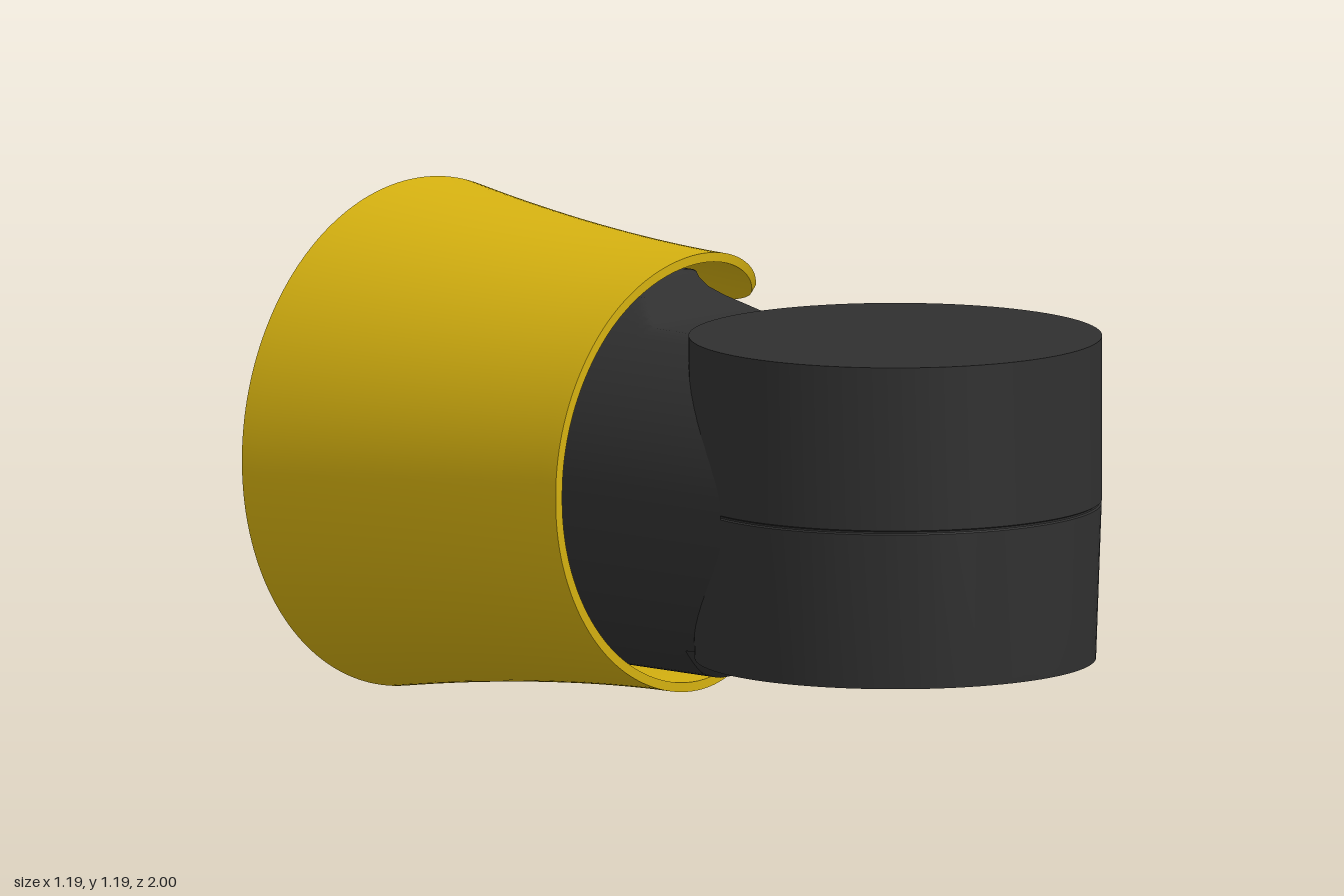
import * as THREE from 'three';
import { toCreasedNormals } from 'three/addons/utils/BufferGeometryUtils.js';

const AXIS_Y = 0.595; // height of the horizontal axis
const dark = new THREE.MeshStandardMaterial({ color: 0x303030 });
const yellow = new THREE.MeshStandardMaterial({ color: 0xd4b010 });

// Skin a list of closed loops; wrap joins the last loop back to the first.
function loft(loops, wrap) {
  const n = loops[0].length, m = loops.length, index = [];
  for (let i = 0; i < (wrap ? m : m - 1); i++) {
    for (let j = 0; j < n; j++) {
      const i2 = (i + 1) % m, j2 = (j + 1) % n;
      const a = i * n + j, b = i * n + j2, c = i2 * n + j2, d = i2 * n + j;
      index.push(a, d, c, a, c, b);
    }
  }
  const g = new THREE.BufferGeometry();
  g.setAttribute('position', new THREE.Float32BufferAttribute(loops.flat(2), 3));
  g.setIndex(index);
  return toCreasedNormals(g, 0.5);
}

function lathe(points) {
  return toCreasedNormals(new THREE.LatheGeometry(points.map(p => new THREE.Vector2(...p)), 96), 0.5);
}

function addMesh(group, name, geometry, material) {
  const mesh = new THREE.Mesh(geometry, material);
  mesh.name = name;
  group.add(mesh);
  return mesh;
}

// Piecewise linear lookup in [z, value] pairs with falling z
function lookup(keys, z) {
  for (let i = 1; i < keys.length; i++) {
    const [z0, v0] = keys[i - 1], [z1, v1] = keys[i];
    if (z >= z1) return THREE.MathUtils.lerp(v0, v1, Math.min(1, Math.max(0, (z0 - z) / (z0 - z1))));
  }
  return keys[keys.length - 1][1];
}

// Round housing, cut away obliquely on its left and trimmed where it meets the drum
function housingGeometry() {
  const R = 0.465, N = 128, loops = [];
  const wall = [[0.4, 0.4], [0.12, 0.25], [0.08, 0.17], [0.05, 0.125], [-0.08, 0.06], [-0.12, 0.05],
    [-0.16, 0.06], [-0.22, 0.1], [-0.62, 0.47], [-0.72, 0.48]];
  const top = [[0.4, 0.97], [0, 0.975], [-0.18, 1.05], [-0.22, 1.07]];
  const bottom = [[0.4, 0.24], [0.13, 0.235], [0.05, 0.14], [-0.72, 0.14]];
  for (let k = 0; k <= 112; k++) {
    const z = 0.4 - k * 0.01;
    const x1 = lookup(wall, z), y0 = lookup(bottom, z), y1 = lookup(top, z);
    loops.push(Array.from({ length: N }, (_, j) => {
      const a = j / N * Math.PI * 2;
      return [Math.min(x1, R * Math.cos(a)),
        Math.min(y1, Math.max(y0, AXIS_Y + R * Math.sin(a))), z];
    }));
  }
  return loft(loops, false);
}

// Flared sleeve whose front edge dips far back on the left side
function sleeveGeometry() {
  const edge = [[0, -0.778], [12, -0.775], [23, -0.75], [31, -0.66], [35, -0.55], [40.5, -0.4],
    [46, -0.27], [53, -0.215], [67, -0.155], [90, -0.108], [135, -0.086], [180, -0.08]];
  const half = new THREE.CatmullRomCurve3(
    edge.map(([deg, z]) => new THREE.Vector3(deg * Math.PI / 180, z, 0))).getSpacedPoints(100);
  const around = [...half, ...half.slice(1, -1).reverse().map(p => new THREE.Vector3(Math.PI * 2 - p.x, p.y, 0))];
  const outer = z => 0.512 + 0.083 * Math.pow(Math.max(0, (-0.08 - z) / 0.92), 1.8);
  const inner = z => outer(z) - 0.022 - 0.026 * THREE.MathUtils.smoothstep(-z, 0.78, 0.97);
  const S = 20;
  const loops = around.map(({ x: a, y: front }) => {
    const profile = [];
    for (let s = 0; s <= S; s++) {
      const z = THREE.MathUtils.lerp(front, -1, s / S);
      profile.push([inner(z), z]);
    }
    for (let s = S; s >= 0; s--) {
      const z = THREE.MathUtils.lerp(front, -1, s / S);
      profile.push([outer(z), z]);
    }
    return profile.map(([r, z]) => [r * Math.cos(a), AXIS_Y + r * Math.sin(a), z]);
  });
  return loft(loops, true);
}

export function createModel() {
  const model = new THREE.Group();
  model.name = 'jointWithSleeve';

  // Upright drum with a fine seam and a tapered lower half
  const drum = addMesh(model, 'drum', lathe([
    [0, 0.228], [0.466, 0.228], [0.479, 0.592], [0.475, 0.595], [0.475, 0.599], [0.48, 0.602],
    [0.48, 0.985], [0, 0.985]]), dark);
  drum.position.z = 0.52;

  addMesh(model, 'housing', housingGeometry(), dark);

  // Rear cap with a ring groove, turned so its face looks backwards
  const cap = addMesh(model, 'rearCap', lathe([
    [0, 0.68], [0.462, 0.68], [0.465, 0.695], [0.48, 0.71], [0.48, 0.865], [0.472, 0.885], [0.45, 0.9],
    [0.39, 0.9], [0.385, 0.885], [0.355, 0.885], [0.35, 0.9], [0, 0.9]]), dark);
  cap.rotation.x = -Math.PI / 2;
  cap.position.y = AXIS_Y;

  addMesh(model, 'sleeve', sleeveGeometry(), yellow);
  return model;
}
